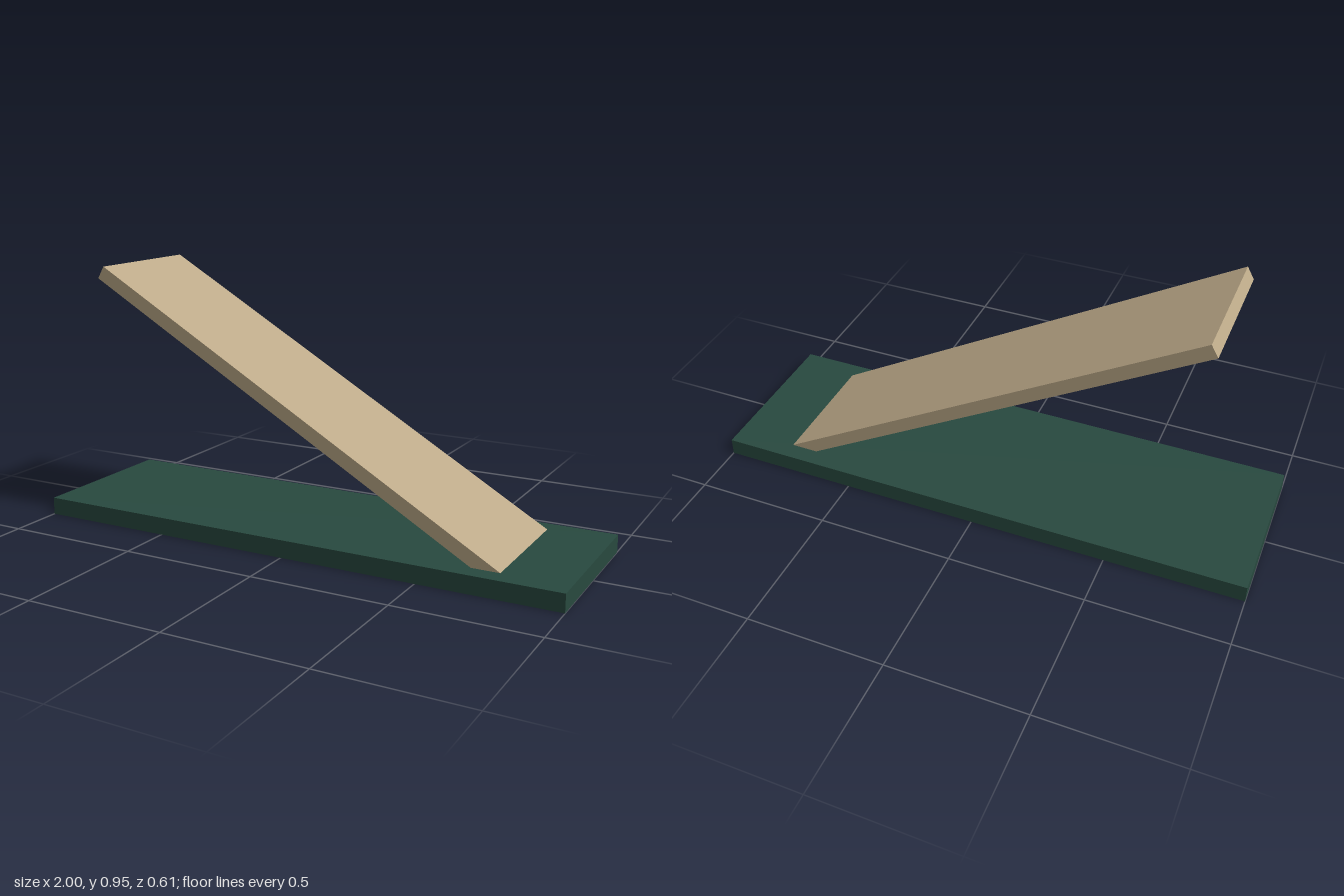
import * as THREE from 'three';

function slab(name, size, color) {
  const mesh = new THREE.Mesh(
    new THREE.BoxGeometry(...size),
    new THREE.MeshStandardMaterial({ color })
  );
  mesh.name = name;
  return mesh;
}

export function createModel() {
  const model = new THREE.Group();
  model.name = 'rampOnBase';

  // Flat green base board
  const base = slab('baseBoard', [2, 0.064, 0.605], 0x28493f);
  base.position.y = 0.032;

  // Ramp plank at 30 degrees, its lower end sunk into the base
  const ramp = slab('rampPlank', [1.8, 0.05, 0.475], 0xbca988);
  ramp.position.y = 0.478;
  ramp.rotation.z = -Math.PI / 6;

  model.add(base, ramp);
  return model;
}
